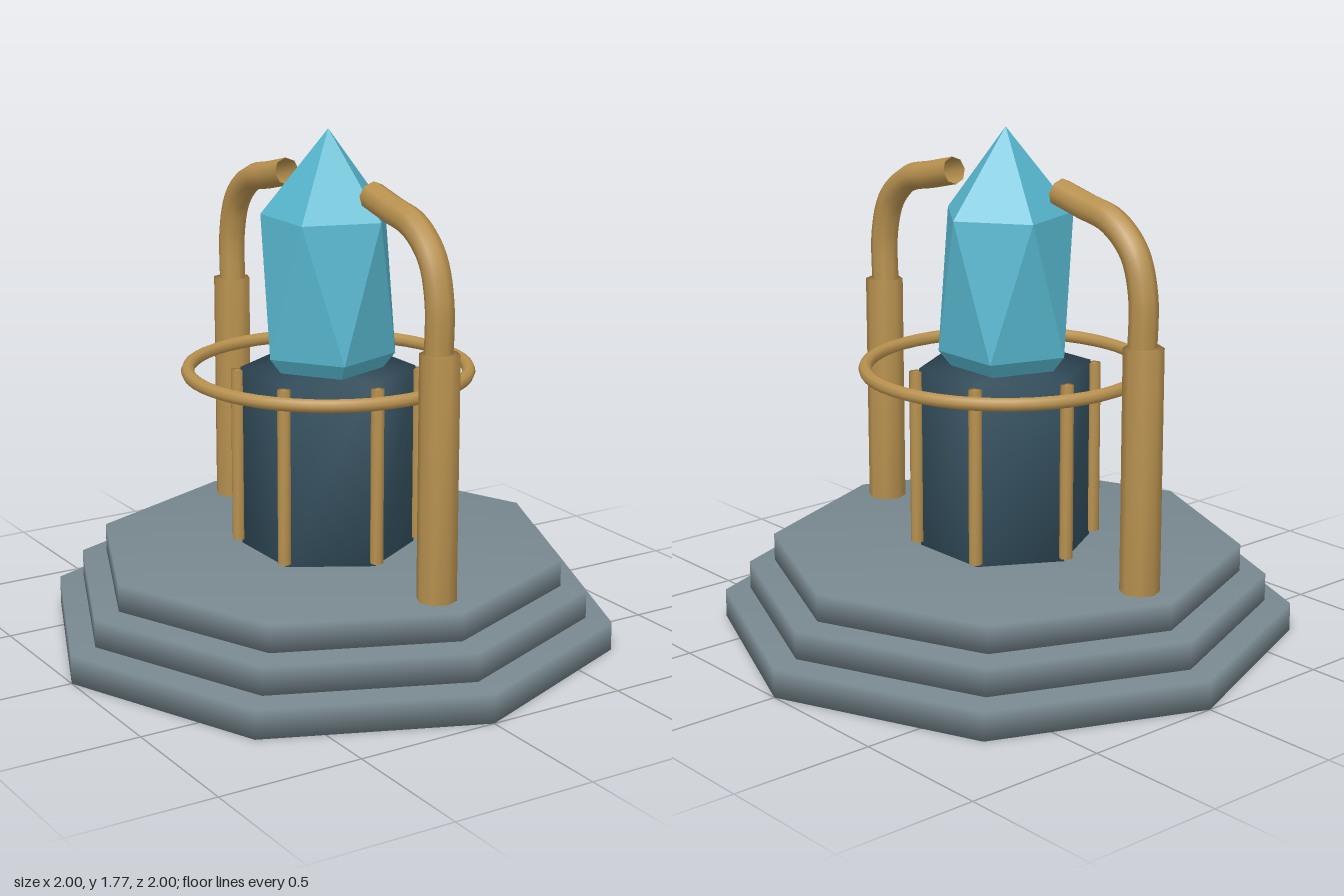
import * as THREE from 'three';
import { mergeVertices } from 'three/addons/utils/BufferGeometryUtils.js';

const paint = (color, extra = {}) => new THREE.MeshStandardMaterial({ color, ...extra });

// Closed prism standing from y0 to y1, with normals blended over its edges
function prism(radius, y0, y1, sides) {
  const geo = new THREE.CylinderGeometry(radius, radius, y1 - y0, sides);
  geo.deleteAttribute('normal');
  geo.deleteAttribute('uv');
  const soft = mergeVertices(geo, 1e-4);
  soft.computeVertexNormals();
  return soft.translate(0, (y0 + y1) / 2, 0);
}

// Stretched icosahedron: two twisted rings of five between two tips
function crystalGeometry(radius, yBottom, yLow, yHigh, yTop) {
  const ring = (y, turn) => Array.from({ length: 5 }, (_, i) => {
    const a = (i + turn) * Math.PI * 2 / 5;
    return [radius * Math.cos(a), y, -radius * Math.sin(a)];
  });
  const high = ring(yHigh, 0), low = ring(yLow, 0.5);
  const pos = [];
  for (let i = 0; i < 5; i++) {
    const j = (i + 1) % 5;
    pos.push(...high[i], ...high[j], 0, yTop, 0);
    pos.push(...low[i], ...high[j], ...high[i]);
    pos.push(...low[i], ...low[j], ...high[j]);
    pos.push(...low[j], ...low[i], 0, yBottom, 0);
  }
  const geo = new THREE.BufferGeometry();
  geo.setAttribute('position', new THREE.Float32BufferAttribute(pos, 3));
  geo.computeVertexNormals();
  return geo;
}

export function createModel() {
  const model = new THREE.Group();
  model.name = 'crystalPedestal';
  const stone = paint(0x78888f);
  const brass = paint(0xb8914f);
  const brassOpen = paint(0xb8914f, { side: THREE.DoubleSide });
  const dark = paint(0x34505f);
  const glow = paint(0x58b8d0, { flatShading: true });

  const add = (name, geo, mat, x = 0, z = 0) => {
    const mesh = new THREE.Mesh(geo, mat);
    mesh.name = name;
    mesh.position.set(x, 0, z);
    model.add(mesh);
    return mesh;
  };

  // Three octagonal steps with narrow gaps between them
  [[1, 0, 0.1], [0.91, 0.11, 0.208], [0.82, 0.218, 0.314]].forEach(([r, y0, y1], i) =>
    add(`step${i + 1}`, prism(r, y0, y1, 8), stone));

  // Hexagonal core and the crystal set in it
  add('core', prism(0.3, 0.314, 0.95, 6), dark);
  add('crystal', crystalGeometry(0.23, 0.71, 1.003, 1.477, 1.77), glow);

  // Rods along the six corners of the core
  for (let i = 0; i < 6; i++) {
    const a = i * Math.PI / 3;
    add(`rod${i + 1}`, prism(0.023, 0.33, 0.94, 8), brass, 0.312 * Math.sin(a), 0.312 * Math.cos(a));
  }

  // Ring around the top of the core
  const ring = new THREE.TorusGeometry(0.482, 0.023, 8, 48);
  add('ring', ring.rotateX(Math.PI / 2).translate(0, 0.942, 0), brass);

  // Front and back posts, each with an open pipe bending toward the crystal
  const bend = [[0.663, 1.1], [0.663, 1.31], [0.62, 1.44], [0.52, 1.525], [0.39, 1.557], [0.27, 1.586]];
  for (const [side, s] of [['front', 1], ['back', -1]]) {
    add(`${side}Post`, prism(0.067, 0.314, 1.138, 8), brass, 0, 0.67 * s);
    const path = new THREE.CatmullRomCurve3(bend.map(([z, y]) => new THREE.Vector3(0, y, z * s)));
    add(`${side}Pipe`, new THREE.TubeGeometry(path, 28, 0.048, 8), brassOpen);
  }

  return model;
}
